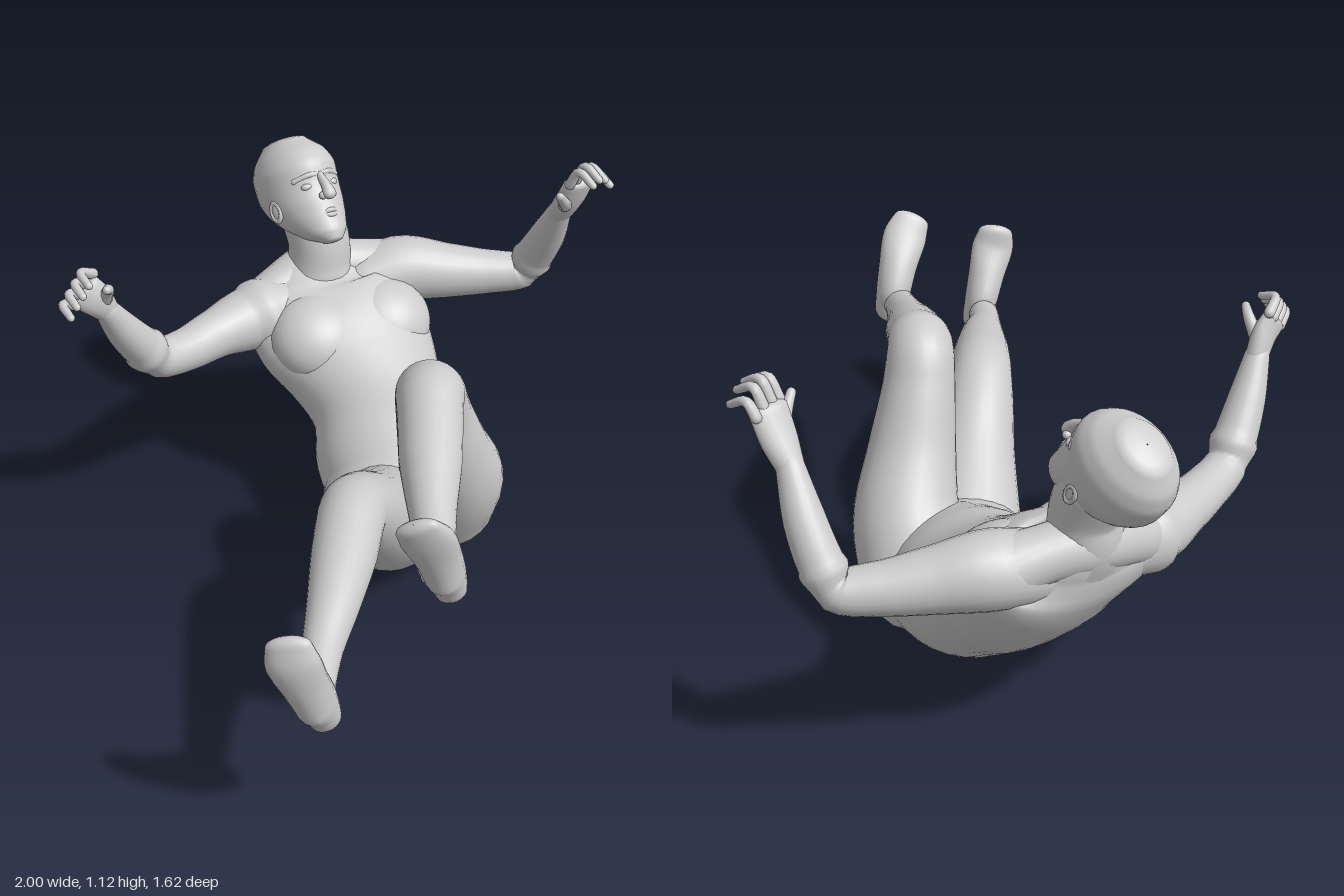
import * as THREE from 'three';

const skin = new THREE.MeshStandardMaterial({ color: 0xcccccc, roughness: 0.8 });
const V = (a) => new THREE.Vector3(a[0], a[1], a[2]);

// Smooth body of elliptical sections. Row: [x, y, z, halfWidth, halfDepth = halfWidth].
// Sections stand square to the path, or to "up" when it is given.
function loft(name, side, rows, { seg = 24, sub = 5, cap = 1, up = null } = {}) {
  const path = new THREE.CatmullRomCurve3(rows.map(V));
  const size = new THREE.CatmullRomCurve3(rows.map((r) => new THREE.Vector3(r[3], r[4] ?? r[3], 0)));
  const n = (rows.length - 1) * sub, pos = [], index = [];
  const ring = (t, shift, scale) => {
    const axis = up ? V(up) : path.getTangent(t), s = size.getPoint(t);
    const p = path.getPoint(t).addScaledVector(axis, shift * cap * Math.min(s.x, s.y));
    const w = V(side).addScaledVector(axis, -V(side).dot(axis)).normalize();
    const d = new THREE.Vector3().crossVectors(w, axis);
    for (let j = 0; j < seg; j++) {
      const a = (j / seg) * Math.PI * 2;
      const q = p.clone().addScaledVector(w, s.x * scale * Math.cos(a)).addScaledVector(d, s.y * scale * Math.sin(a));
      pos.push(q.x, q.y, q.z);
    }
  };
  const dome = [0.02, 0.35, 0.7, 1.1].map((a) => [Math.cos(a), Math.sin(a)]);
  for (const [c, s] of dome) ring(0, -c, s);
  for (let i = 0; i <= n; i++) ring(i / n, 0, 1);
  for (const [c, s] of dome.reverse()) ring(1, c, s);
  for (let i = 0; i < pos.length / 3 / seg - 1; i++) {
    for (let j = 0; j < seg; j++) {
      const a = i * seg + j, b = i * seg + ((j + 1) % seg);
      index.push(a, a + seg, b, b, a + seg, b + seg);
    }
  }
  const g = new THREE.BufferGeometry();
  g.setAttribute('position', new THREE.Float32BufferAttribute(pos, 3));
  g.setIndex(index);
  g.computeVertexNormals();
  const m = new THREE.Mesh(g, skin);
  m.name = name;
  return m;
}

function ball(name, p, r, scale = [1, 1, 1]) {
  const m = new THREE.Mesh(new THREE.SphereGeometry(r, 32, 24), skin);
  m.name = name;
  m.position.copy(V(p));
  m.scale.copy(V(scale));
  return m;
}

// Group whose axes are left, up and forward of a body part
function frame(name, origin, up, forward) {
  const u = V(up).normalize();
  const f = V(forward).addScaledVector(u, -V(forward).dot(u)).normalize();
  const g = new THREE.Group();
  g.name = name;
  g.quaternion.setFromRotationMatrix(new THREE.Matrix4().makeBasis(new THREE.Vector3().crossVectors(u, f), u, f));
  g.position.copy(V(origin));
  return g;
}

function makeHead() {
  const head = frame('head', [0.453, 0.915, -0.65], [0.19, 0.81, -0.56], [-0.14, 0.57, 0.81]);
  head.add(loft('skull', [1, 0, 0], [
    [0, -0.195, 0.108, 0.034, 0.036], [0, -0.168, 0.078, 0.066, 0.074], [0, -0.118, 0.038, 0.095, 0.112],
    [0, -0.07, 0.01, 0.112, 0.139], [0, -0.02, -0.006, 0.122, 0.15], [0, 0.04, -0.004, 0.124, 0.155],
    [0, 0.095, -0.008, 0.106, 0.134], [0, 0.135, -0.012, 0.072, 0.09],
  ], { seg: 32, cap: 0.3, up: [0, 1, 0] }));
  head.add(loft('nose', [1, 0, 0], [[0, -0.06, 0.167, 0.022, 0.018], [0, -0.034, 0.16, 0.016], [0, 0.008, 0.14, 0.011]], { seg: 14 }));
  head.add(loft('brow', [0, 1, 0], [[-0.075, 0.004, 0.106, 0.01], [-0.035, 0.012, 0.133, 0.011], [0, 0.01, 0.138, 0.01],
    [0.035, 0.012, 0.133, 0.011], [0.075, 0.004, 0.106, 0.01]], { seg: 12 }));
  for (const [n, y] of [['upperLip', -0.108], ['lowerLip', -0.123]])
    head.add(loft(n, [0, 1, 0], [[-0.034, -0.115, 0.134, 0.004], [0, y, 0.147, 0.0085], [0.034, -0.115, 0.134, 0.004]], { seg: 10 }));
  for (const s of [-1, 1]) {
    head.add(ball('eye', [s * 0.044, -0.022, 0.121], 0.018, [1.2, 0.7, 0.9]));
    head.add(ball('nostril', [s * 0.018, -0.061, 0.154], 0.012));
    const ear = new THREE.Group();
    ear.name = 'ear';
    ear.position.set(s * 0.115, -0.065, 0.02);
    ear.rotation.y = Math.PI / 2 - s * 0.3;
    const rim = new THREE.Mesh(new THREE.TorusGeometry(0.021, 0.007, 8, 20), skin);
    rim.name = 'earRim';
    rim.scale.set(0.85, 1.35, 1);
    ear.add(rim, ball('earHollow', [0, 0, 0], 0.02, [0.85, 1.35, 0.25]));
    head.add(ear);
  }
  return head;
}

// Palm, four bent fingers and a thumb; each finger is [knuckle, bend, tip]
function makeHand(name, side, palm, fingers, thumb) {
  const g = new THREE.Group();
  g.name = name;
  g.add(loft('palm', side, palm, { seg: 18, cap: 0.6 }));
  for (const f of fingers) g.add(loft('finger', side, f.map((p, i) => [...p, 0.0165 - i * 0.0025]), { seg: 10 }));
  g.add(loft('thumb', side, thumb.map((p, i) => [...p, 0.021 - i * 0.004]), { seg: 10 }));
  return g;
}

export function createModel() {
  const model = new THREE.Group();
  model.name = 'recliningFigure';
  const across = [0.91, 0, 0.4], trunkUp = [0.3, 0.61, -0.73], trunkFront = [-0.244, 0.784, 0.555];

  // Trunk, shoulders and neck
  model.add(loft('torso', across, [
    [0.2, 0.205, 0.04, 0.235, 0.2], [0.278, 0.258, -0.088, 0.24, 0.213], [0.352, 0.335, -0.21, 0.215, 0.193],
    [0.397, 0.42, -0.325, 0.248, 0.182], [0.415, 0.51, -0.43, 0.285, 0.167], [0.42, 0.585, -0.515, 0.275, 0.133],
    [0.435, 0.645, -0.555, 0.18, 0.095],
  ], { seg: 40, cap: 0.8 }));
  model.add(loft('shoulders', [0, 0, 1], [[0.2, 0.575, -0.605, 0.085], [0.32, 0.625, -0.6, 0.08], [0.44, 0.665, -0.57, 0.085],
    [0.55, 0.66, -0.5, 0.078], [0.65, 0.635, -0.42, 0.09]]));
  model.add(loft('neck', across, [[0.43, 0.59, -0.53, 0.15, 0.1], [0.44, 0.68, -0.55, 0.105], [0.445, 0.76, -0.555, 0.097], [0.45, 0.86, -0.595, 0.1]]));
  model.add(makeHead());
  const chest = frame('chest', [0.41, 0.5, -0.41], trunkUp, trunkFront);
  for (const s of [-1, 1]) chest.add(ball('breast', [s * 0.115, -0.01, 0.055], 0.15, [1, 0.95, 0.76]));
  model.add(chest);
  const hips = frame('hips', [0.16, 0.2, 0.025], trunkUp, trunkFront);
  hips.add(ball('pelvis', [0, 0, 0], 0.2, [1.12, 0.97, 1]));
  model.add(hips, ball('leftButtock', [0.255, 0.198, -0.025], 0.178));

  // Legs
  model.add(loft('leftLeg', across, [
    [0.27, 0.215, 0.11, 0.18], [0.22, 0.34, 0.19, 0.16], [0.13, 0.5, 0.235, 0.132], [0.05, 0.68, 0.262, 0.107],
    [0, 0.775, 0.29, 0.097], [-0.08, 0.755, 0.36, 0.09], [-0.17, 0.715, 0.44, 0.086], [-0.3, 0.67, 0.56, 0.064],
    [-0.4, 0.64, 0.66, 0.051], [-0.43, 0.63, 0.69, 0.05],
  ], { seg: 28 }));
  model.add(loft('rightLeg', across, [
    [0.08, 0.2, 0.07, 0.165], [-0.02, 0.285, 0.13, 0.147], [-0.14, 0.395, 0.2, 0.124], [-0.25, 0.5, 0.258, 0.107],
    [-0.325, 0.55, 0.3, 0.094], [-0.45, 0.528, 0.385, 0.089], [-0.6, 0.5, 0.485, 0.07], [-0.72, 0.47, 0.56, 0.054],
    [-0.81, 0.45, 0.625, 0.049], [-0.84, 0.445, 0.65, 0.049],
  ], { seg: 28 }));

  // Feet, heel to toes
  const footSide = [0.58, 0.27, 0.76], footSize = [[0.047, 0.047], [0.055, 0.07], [0.061, 0.058], [0.07, 0.038], [0.058, 0.024]];
  const foot = (name, pts) => loft(name, footSide, pts.map((p, i) => [...p, ...footSize[i]]));
  model.add(foot('leftFoot', [[-0.435, 0.605, 0.735], [-0.45, 0.655, 0.73], [-0.485, 0.73, 0.735], [-0.535, 0.81, 0.742], [-0.57, 0.86, 0.738]]));
  model.add(foot('rightFoot', [[-0.845, 0.412, 0.68], [-0.867, 0.47, 0.675], [-0.905, 0.55, 0.678], [-0.943, 0.635, 0.678], [-0.95, 0.692, 0.67]]));

  // Arms
  model.add(loft('leftArm', [0.7, -0.2, -0.7], [
    [0.54, 0.6, -0.46, 0.1], [0.65, 0.632, -0.405, 0.107], [0.765, 0.622, -0.295, 0.088], [0.86, 0.615, -0.2, 0.071],
    [0.93, 0.625, -0.12, 0.061], [0.935, 0.69, -0.08, 0.061], [0.918, 0.79, -0.02, 0.055], [0.885, 0.91, 0.045, 0.037],
  ]));
  model.add(loft('rightArm', [0, 0, 1], [
    [0.29, 0.58, -0.57, 0.1], [0.17, 0.575, -0.605, 0.1], [0.05, 0.572, -0.62, 0.078], [-0.08, 0.57, -0.622, 0.067],
    [-0.185, 0.59, -0.625, 0.062], [-0.25, 0.66, -0.622, 0.062], [-0.32, 0.75, -0.615, 0.053], [-0.385, 0.85, -0.605, 0.036],
  ]));

  // Hands
  model.add(makeHand('leftHand', [0.95, 0, 0.3],
    [[0.885, 0.9, 0.04, 0.037, 0.034], [0.875, 0.97, 0.085, 0.052, 0.033], [0.868, 1.04, 0.12, 0.056, 0.026]],
    [0, 1, 2, 3].map((i) => {
      const x = 0.825 + i * 0.029, h = [0.01, 0.018, 0.008, -0.02][i];
      return [[x, 1.045 + h / 2, 0.12], [x, 1.09 + h, 0.15], [x - 0.002, 1.065 + h, 0.205]];
    }),
    [[0.85, 0.96, 0.09], [0.8, 1.0, 0.12], [0.765, 1.035, 0.13]]));
  model.add(makeHand('rightHand', [0.6, 0.75, 0.1],
    [[-0.38, 0.845, -0.605, 0.036, 0.032], [-0.42, 0.9, -0.605, 0.05, 0.03], [-0.45, 0.935, -0.615, 0.054, 0.023]],
    [0, 1, 2, 3].map((i) => {
      const x = -0.485 + i * 0.024, y = 0.905 + i * 0.024;
      return [[x, y, -0.62], [x - 0.05, y + 0.025, -0.61], [x - 0.065, y + 0.01, -0.56]];
    }),
    [[-0.4, 0.9, -0.59], [-0.41, 0.945, -0.56], [-0.435, 0.965, -0.535]]));
  return model;
}
